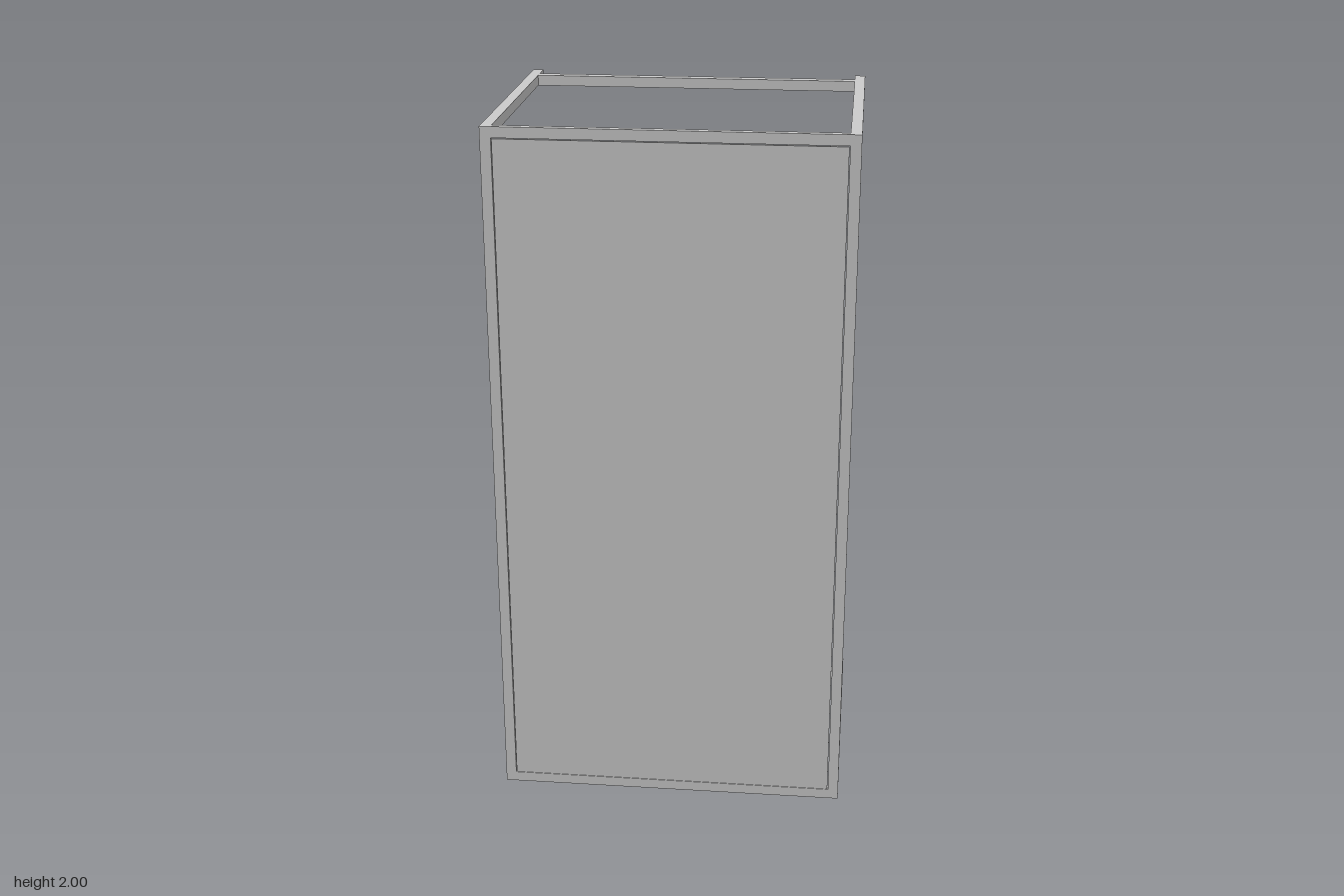
import * as THREE from 'three';

export function createModel() {
  const group = new THREE.Group();
  const material = new THREE.MeshStandardMaterial({ color: 0xcccccc });

  // Box given by its lower and upper limits on each axis
  const box = (name, [x0, x1], [y0, y1], [z0, z1]) => {
    const mesh = new THREE.Mesh(new THREE.BoxGeometry(x1 - x0, y1 - y0, z1 - z0), material);
    mesh.position.set((x0 + x1) / 2, (y0 + y1) / 2, (z0 + z1) / 2);
    mesh.name = name;
    group.add(mesh);
  };

  const bar = 0.03, halfW = 0.5, inner = halfW - bar;
  const front = [0.38, 0.4];

  // Matching bottom and top frames
  for (const [level, y] of [['bottom', 0], ['top', 2 - bar]]) {
    const height = [y, y + bar];
    box(level + 'LeftRail', [inner, halfW], height, [-0.4, 0.4]);
    box(level + 'RightRail', [-halfW, -inner], height, [-0.4, 0.4]);
    box(level + 'FrontRail', [-inner, inner], height, front);
    box(level + 'BackRail', [-inner, inner], height, [-0.34, -0.31]);
  }

  // Front uprights between the two frames
  box('leftPost', [inner, halfW], [bar, 2 - bar], front);
  box('rightPost', [-halfW, -inner], [bar, 2 - bar], front);

  // Thin panel filling the front frame
  box('frontPanel', [-0.468, 0.468], [0.032, 1.968], [0.395, 0.401]);

  return group;
}
